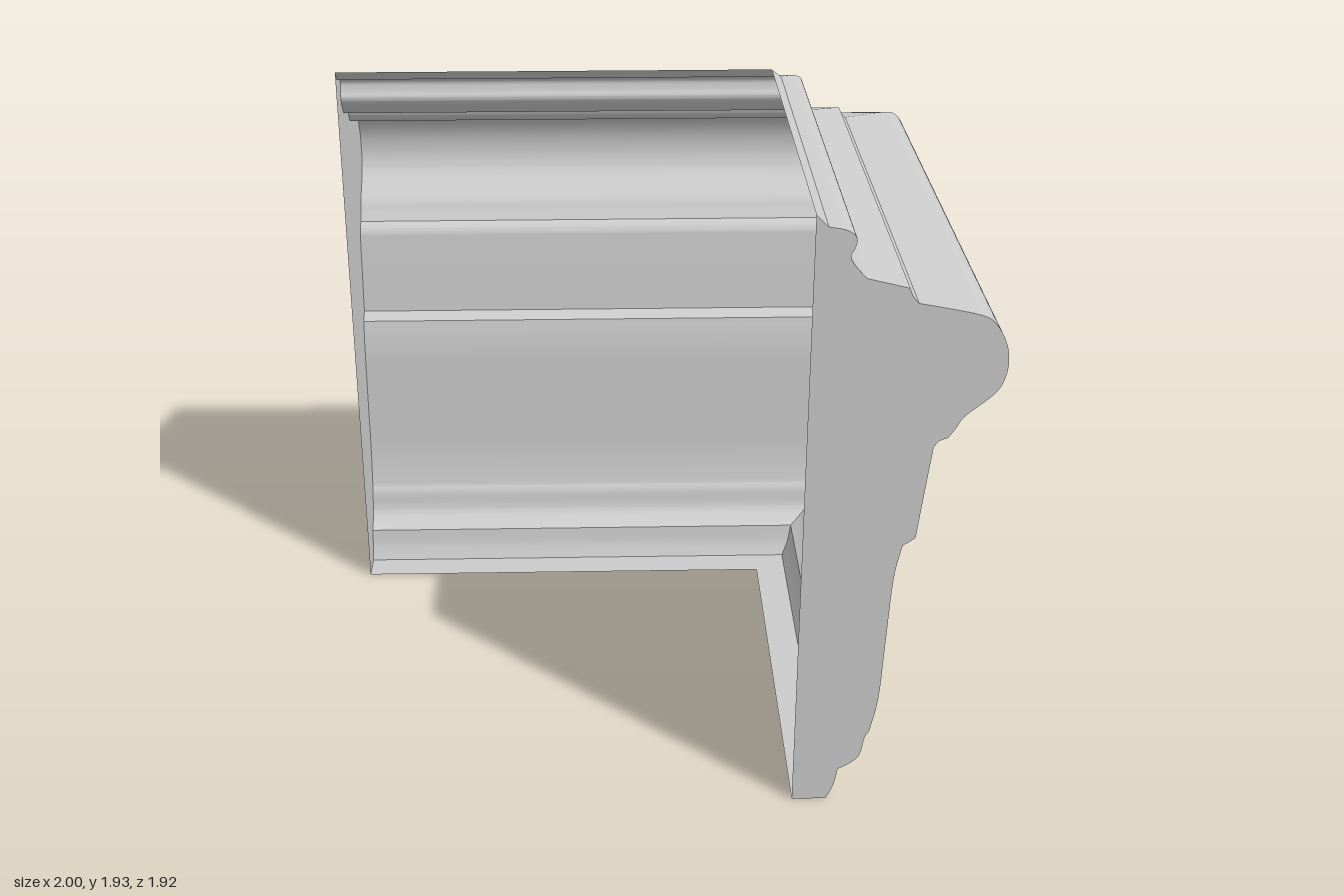
import * as THREE from 'three';
import { toCreasedNormals } from 'three/addons/utils/BufferGeometryUtils.js';

const X0 = 0.445, Z0 = -0.41, END_X = -1, END_Z = 0.96;

// Moulding section from top to bottom as [depth from wall, height];
// each run is one smooth curve, and runs meet at sharp edges.
const RUNS = [
  [[0, 1.93], [0.035, 1.895]],
  [[0.035, 1.895], [0.085, 1.885], [0.113, 1.862], [0.108, 1.83]],
  [[0.108, 1.83], [0.099, 1.81], [0.11, 1.785], [0.145, 1.745]],
  [[0.145, 1.745], [0.265, 1.715]],
  [[0.265, 1.715], [0.275, 1.69], [0.292, 1.67]],
  [[0.292, 1.67], [0.46, 1.635], [0.51, 1.605], [0.542, 1.55], [0.553, 1.495],
    [0.547, 1.44], [0.52, 1.39], [0.445, 1.325], [0.42, 1.285], [0.4, 1.255]],
  [[0.4, 1.255], [0.375, 1.245], [0.361, 1.225]],
  [[0.361, 1.225], [0.35, 1.13], [0.328, 0.93]],
  [[0.328, 0.93], [0.312, 0.918], [0.292, 0.905]],
  [[0.292, 0.905], [0.272, 0.79], [0.26, 0.56], [0.25, 0.37], [0.228, 0.25]],
  [[0.228, 0.25], [0.215, 0.225], [0.205, 0.17], [0.185, 0.14], [0.138, 0.11]],
  [[0.138, 0.11], [0.127, 0.05], [0.105, 0]],
  [[0.105, 0], [0, 0]],
];

function profilePoints() {
  const points = [];
  for (const run of RUNS) {
    const curve = new THREE.SplineCurve(run.map(([d, y]) => new THREE.Vector2(d, y)));
    const samples = run.length === 2 ? 1 : (run.length - 1) * 5;
    points.push(...curve.getPoints(samples).slice(points.length ? 1 : 0));
  }
  return points;
}

// Straight run of the section between two stations
function sweep(profile, from, to) {
  const positions = [];
  for (let i = 0; i < profile.length - 1; i++) {
    const a = from(profile[i]), b = to(profile[i]);
    const c = to(profile[i + 1]), d = from(profile[i + 1]);
    for (const v of [a, b, c, a, c, d]) positions.push(...v);
  }
  const geometry = new THREE.BufferGeometry();
  geometry.setAttribute('position', new THREE.Float32BufferAttribute(positions, 3));
  return toCreasedNormals(geometry, 0.45);
}

export function createModel() {
  const group = new THREE.Group();
  const material = new THREE.MeshStandardMaterial({ color: 0xcccccc, side: THREE.DoubleSide });
  const add = (name, geometry) => {
    const mesh = new THREE.Mesh(geometry, material);
    mesh.name = name;
    group.add(mesh);
  };
  const profile = profilePoints();

  // Two open-backed arms meeting at a mitred corner
  const backEnd = (p) => [END_X, p.y, Z0 - p.x];
  const mitre = (p) => [X0 + p.x, p.y, Z0 - p.x];
  const sideEnd = (p) => [X0 + p.x, p.y, END_Z];
  add('backMoulding', sweep(profile, backEnd, mitre));
  add('sideMoulding', sweep(profile, mitre, sideEnd));

  // Flat caps closing the free ends
  add('sideEndCap', new THREE.ShapeGeometry(new THREE.Shape(profile)).translate(X0, 0, END_Z));
  const mirrored = profile.map((p) => new THREE.Vector2(-p.x, p.y));
  add('backEndCap', new THREE.ShapeGeometry(new THREE.Shape(mirrored))
    .rotateY(-Math.PI / 2).translate(END_X, 0, Z0));

  return group;
}
